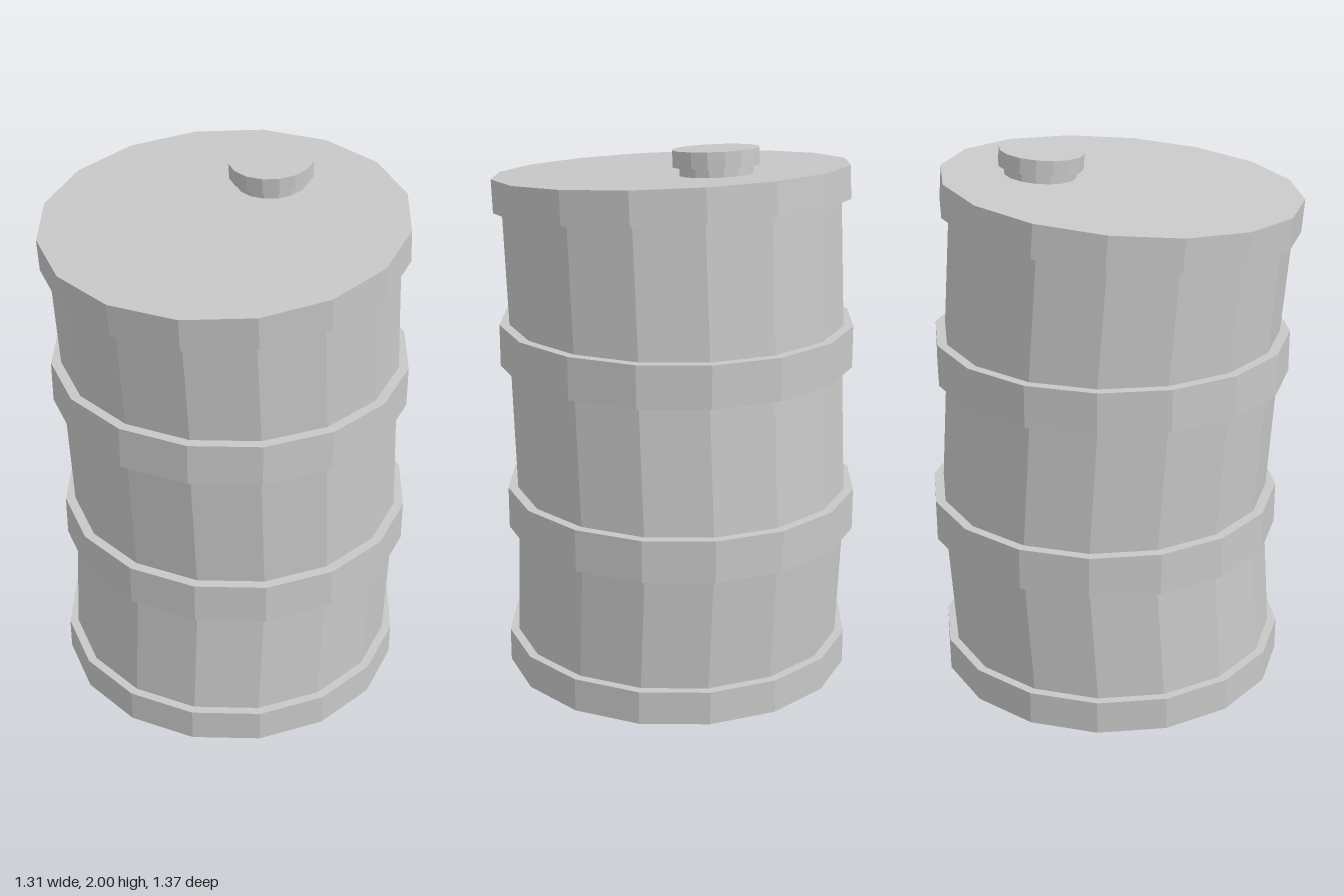
import * as THREE from 'three';

const SIDES = 16;
const TILT = 0.077; // lean of the lid, radians

export function createModel() {
  const model = new THREE.Group();
  model.name = 'barrel';
  const steel = new THREE.MeshStandardMaterial({ color: 0xc8c8c8, flatShading: true });
  steel.name = 'grey steel';

  const drum = (name, radius, height, y, z, parent = model) => {
    const mesh = new THREE.Mesh(new THREE.CylinderGeometry(radius, radius, height, SIDES), steel);
    mesh.name = name;
    mesh.position.set(0, y, z);
    parent.add(mesh);
    return mesh;
  };

  // Body: a cylinder whose levels slide in z, giving a bent barrel
  const levels = [[0.02, -0.004], [0.13, -0.004], [0.56, -0.032], [0.71, -0.032],
    [1.18, -0.002], [1.33, -0.002], [1.78, 0.032]]; // [y, centre z]
  const steps = levels.length - 1;
  const geometry = new THREE.CylinderGeometry(0.617, 0.617, steps, SIDES, steps);
  const p = geometry.attributes.position;
  for (let i = 0; i < p.count; i++) {
    const level = Math.round(p.getY(i) + steps / 2);
    const [y, z] = levels[level];
    const lean = level === steps ? -p.getZ(i) * TILT : 0; // top follows the lid
    p.setY(i, y + lean);
    p.setZ(i, p.getZ(i) + z);
  }
  geometry.computeVertexNormals();
  const body = new THREE.Mesh(geometry, steel);
  body.name = 'body';
  model.add(body);

  // Hoops
  drum('bottomRim', 0.65, 0.125, 0.0625, -0.004);
  drum('lowerHoop', 0.653, 0.155, 0.636, -0.031);
  drum('upperHoop', 0.653, 0.155, 1.256, -0.001);

  // Tilted lid with its bung; the group origin is the centre of the lid's top
  const lid = new THREE.Group();
  lid.name = 'lidAssembly';
  lid.position.set(0, 1.877, 0.037);
  lid.rotation.x = TILT;
  model.add(lid);
  drum('lid', 0.65, 0.12, -0.06, 0, lid);
  drum('bungNeck', 0.13, 0.05, 0.015, -0.293, lid);
  drum('bungCap', 0.153, 0.058, 0.06, -0.293, lid);
  return model;
}
